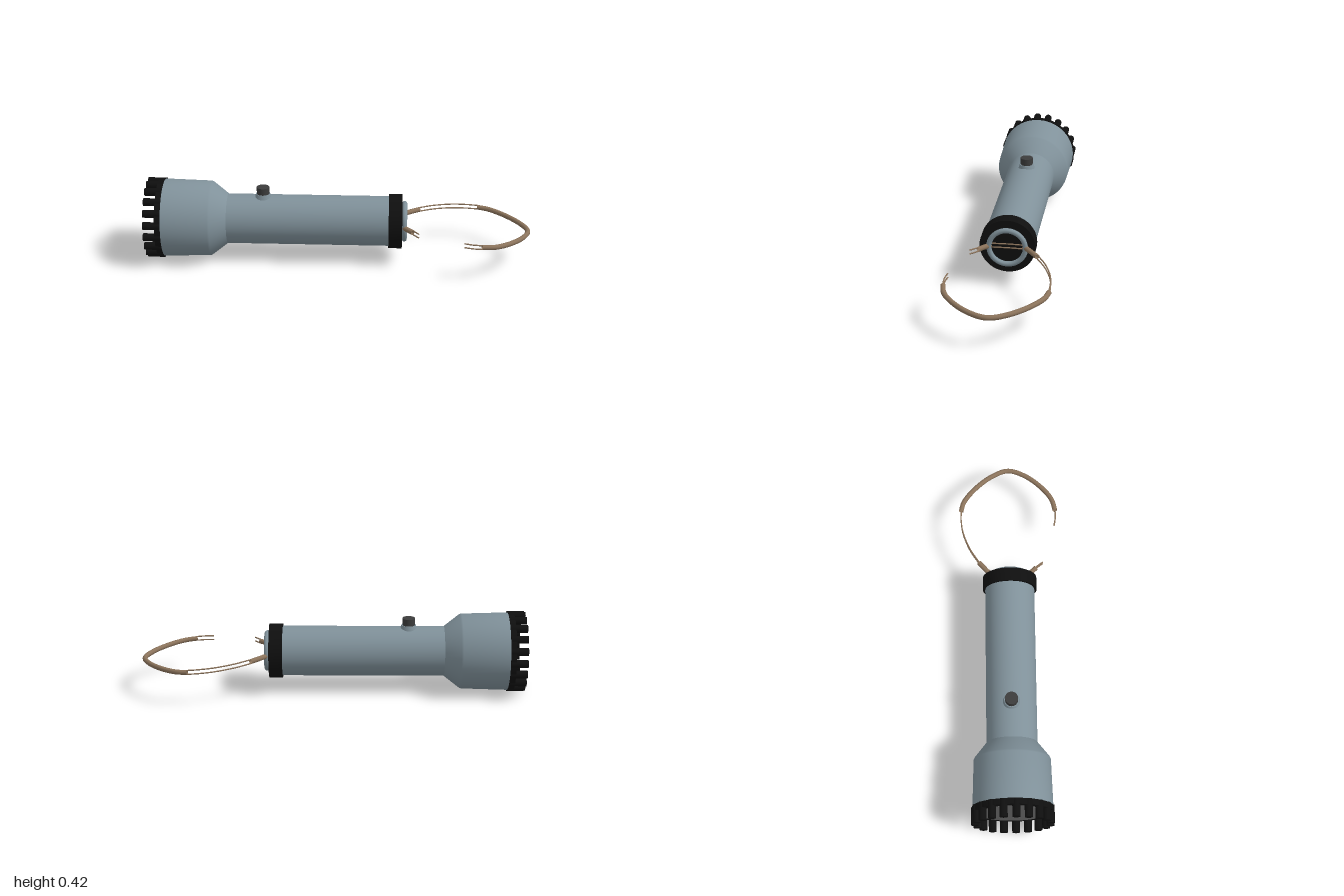
import * as THREE from 'three';
import { toCreasedNormals } from 'three/addons/utils/BufferGeometryUtils.js';

const AXIS_Y = 0.215;

function material(name, color, side = THREE.FrontSide) {
  const m = new THREE.MeshStandardMaterial({ color, side });
  m.name = name;
  return m;
}

// Turned solid along x from [x, radius] pairs, x ascending
function turned(profile) {
  const g = new THREE.LatheGeometry(profile.map(([x, r]) => new THREE.Vector2(r, x)), 48);
  g.rotateZ(-Math.PI / 2);
  return toCreasedNormals(g, 0.5);
}

export function createModel() {
  const group = new THREE.Group();
  const metal = material('blueGreyMetal', 0x80919a);
  const rubber = material('blackRubber', 0x0f0f0f);
  const dark = material('darkGrey', 0x3c3c3c);
  const glass = material('greyLens', 0x636363);
  const cord = material('tanCord', 0x8c745c, THREE.DoubleSide);

  function add(parent, name, geometry, mat, x = 0, y = 0, z = 0) {
    const mesh = new THREE.Mesh(geometry, mat);
    mesh.name = name;
    mesh.position.set(x, y, z);
    parent.add(mesh);
    return mesh;
  }

  // Head, cone and handle tube in one turned piece
  add(group, 'body', turned([
    [-0.915, 0], [-0.915, 0.203], [-0.67, 0.196], [-0.66, 0.192],
    [-0.58, 0.13], [0.27, 0.13], [0.27, 0],
  ]), metal, 0, AXIS_Y);

  // Front bezel with a crown of round studs
  const bezel = new THREE.Group();
  bezel.name = 'bezel';
  bezel.position.y = AXIS_Y;
  group.add(bezel);
  add(bezel, 'bezelRing', turned([[-0.94, 0], [-0.94, 0.205], [-0.91, 0.205], [-0.91, 0]]), rubber);
  const stud = new THREE.CylinderGeometry(0.02, 0.02, 0.09, 12).rotateZ(Math.PI / 2);
  const studs = 19;
  for (let i = 0; i < studs; i++) {
    const a = (i / studs) * Math.PI * 2;
    add(bezel, 'bezelStud', stud, rubber, -0.955, Math.sin(a) * 0.19, -Math.cos(a) * 0.19);
  }
  add(bezel, 'lens', turned([[-0.943, 0], [-0.943, 0.17], [-0.938, 0.17]]), glass);

  // Tail cap and lanyard ring
  add(group, 'tailCap', turned([
    [0.26, 0], [0.26, 0.142], [0.33, 0.142], [0.33, 0],
  ]), rubber, 0, AXIS_Y);
  add(group, 'tailRing', new THREE.TorusGeometry(0.0925, 0.0135, 12, 48).rotateY(Math.PI / 2),
    metal, 0.342, AXIS_Y);

  // Push button on its collar
  add(group, 'switchCollar', new THREE.CylinderGeometry(0.037, 0.046, 0.03, 32), metal, -0.395, 0.345);
  add(group, 'switchButton', new THREE.CylinderGeometry(0.033, 0.033, 0.05, 32), dark, -0.395, 0.371);

  // Wrist cord: [x, z] path lying in a gently sloping plane
  const at = (x, z, dy = 0) => new THREE.Vector3(x, 0.217 - (x - 0.36) * 0.072 + dy, z);
  const strand = (name, pts, r, dy = 0) => {
    const path = new THREE.CatmullRomCurve3(pts.map(([x, z]) => at(x, z, dy)));
    add(group, name, new THREE.TubeGeometry(path, pts.length * 8, r, 10), cord);
  };
  const rails = (name, pts) => {
    for (const dy of [-0.0105, 0.0105]) strand(name, pts, 0.0035, dy);
  };
  // Solid stretches
  strand('cordRoot', [[0.335, -0.085], [0.36, -0.11], [0.42, -0.162]], 0.013);
  strand('cordLoop', [
    [0.735, -0.258], [0.79, -0.243], [0.87, -0.185], [0.95, -0.09], [0.985, 0],
    [0.95, 0.095], [0.87, 0.188], [0.8, 0.236], [0.735, 0.252],
  ], 0.013);
  strand('cordTail', [[0.335, 0.085], [0.36, 0.115], [0.385, 0.14]], 0.013);
  // Frayed stretches split into two thin strands
  rails('cordSideStrand', [[0.42, -0.162], [0.5, -0.21], [0.6, -0.247], [0.68, -0.258], [0.735, -0.258]]);
  rails('cordEndStrand', [[0.735, 0.252], [0.69, 0.253], [0.645, 0.246]]);
  rails('cordTailStrand', [[0.385, 0.14], [0.4, 0.158], [0.415, 0.178]]);
  rails('cordInnerStrand', [[0.335, -0.085], [0.333, 0], [0.335, 0.085]]);

  return group;
}
